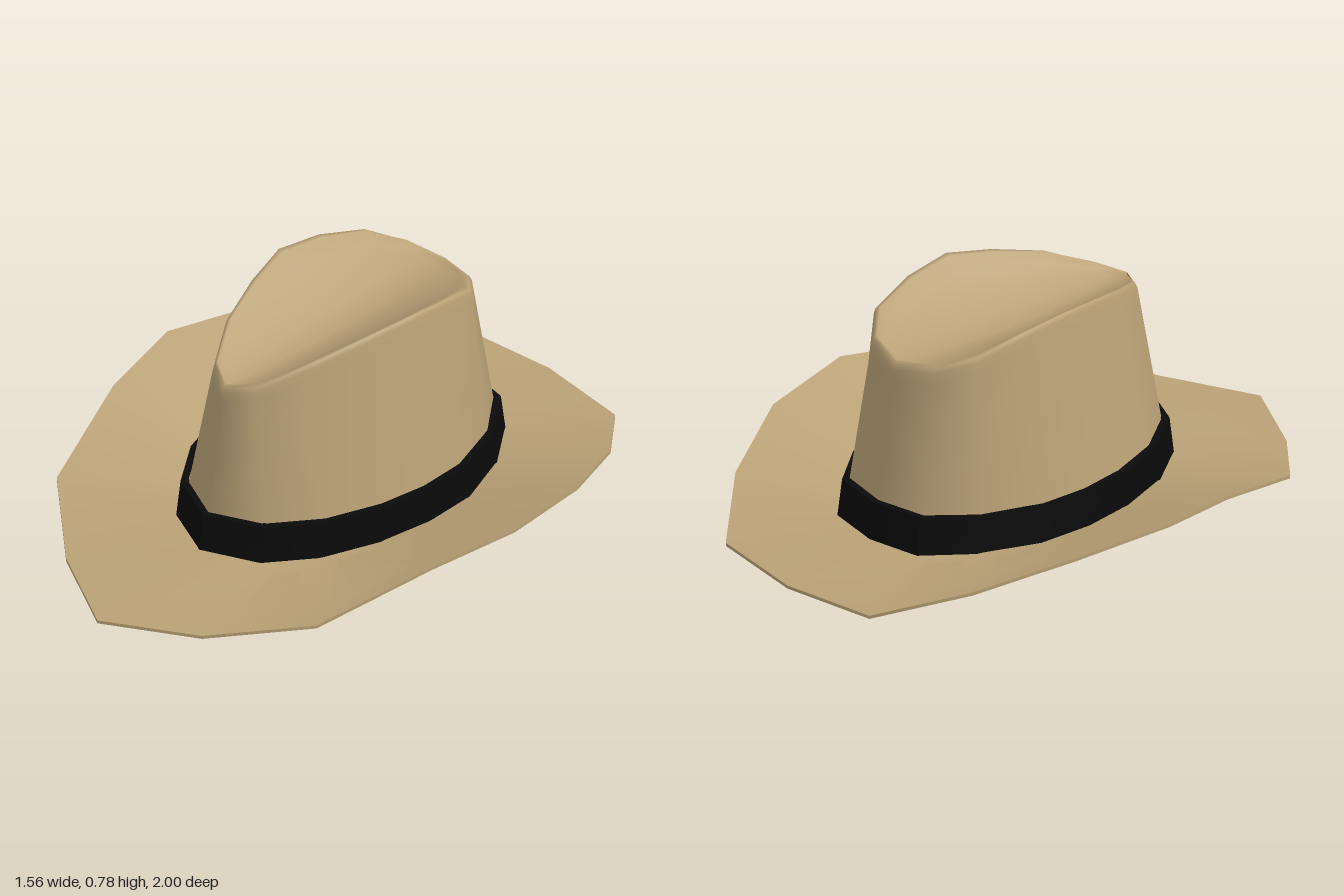
import * as THREE from 'three';
import { mergeVertices, toCreasedNormals } from 'three/addons/utils/BufferGeometryUtils.js';

// Half outlines run from the back, round the left side, to the front: [x, y, z]
const BRIM = [
  [0, 0.018, -1], [0.34, 0.025, -0.957], [0.56, 0.11, -0.72], [0.717, 0.19, -0.42], [0.78, 0.22, -0.08],
  [0.715, 0.19, 0.225], [0.583, 0.085, 0.605], [0.305, 0.022, 0.838], [0, 0.011, 1],
];
const BAND = [
  [0, 0.06, -0.655], [0.19, 0.06, -0.62], [0.315, 0.06, -0.46], [0.395, 0.06, -0.26], [0.405, 0.06, -0.08],
  [0.38, 0.06, 0.1], [0.31, 0.06, 0.3], [0.19, 0.06, 0.465], [0, 0.06, 0.55],
];
const RIM = [
  [0, 0.65, -0.555], [0.145, 0.675, -0.515], [0.24, 0.717, -0.42], [0.275, 0.76, -0.25], [0.285, 0.78, -0.08],
  [0.245, 0.755, 0.08], [0.185, 0.715, 0.25], [0.095, 0.655, 0.395], [0, 0.632, 0.45],
];

// Shrink an outline toward its middle and set its height
const shrink = (half, k, y) => half.map(([x, , z]) => [x * k, y, -0.052 + (z + 0.052) * k]);
const lift = (half, dy) => half.map(([x, y, z]) => [x, y + dy, z]);
const blend = (a, b, t) => a.map((p, i) => p.map((v, k) => v + (b[i][k] - v) * t));

// Skin a stack of mirrored outlines
function loft(halves) {
  const rings = halves.map((h) => [...h, ...h.slice(1, -1).reverse().map(([x, y, z]) => [-x, y, z])]);
  const n = rings[0].length;
  const index = [];
  for (let r = 0; r < rings.length - 1; r++) {
    for (let i = 0; i < n; i++) {
      const a = r * n + i, b = r * n + (i + 1) % n;
      index.push(a, a + n, b, a + n, b + n, b);
    }
  }
  let geo = new THREE.BufferGeometry();
  geo.setAttribute('position', new THREE.Float32BufferAttribute(rings.flat(2), 3));
  geo.setIndex(index);
  geo = mergeVertices(geo);
  geo.computeVertexNormals();
  return geo;
}

export function createModel() {
  const hat = new THREE.Group();
  hat.name = 'hat';
  const felt = new THREE.MeshStandardMaterial({ color: 0xb9a176, side: THREE.DoubleSide });
  felt.name = 'tan felt';
  const ribbon = new THREE.MeshStandardMaterial({ color: 0x0a0a0a });
  ribbon.name = 'black ribbon';

  const add = (name, geo, mat) => {
    const mesh = new THREE.Mesh(geo, mat);
    mesh.name = name;
    hat.add(mesh);
  };

  // Brim: thin sheet, curled up at the sides, with an oval opening
  add('brim', toCreasedNormals(loft([
    shrink(BAND, 0.965, 0.055), lift(BRIM, -0.011), BRIM, shrink(BAND, 0.965, 0.068),
  ]), 0.7), felt);

  // Crown: tapering wall, rounded rim, and a lengthwise crease that folds onto the centre line
  const base = shrink(BAND, 0.965, 0.055);
  const edge = lift(RIM, -0.02);
  const valley = (z) => {
    const t = (z + 0.555) / 1.005;
    return 0.65 - 0.018 * t - 0.025 * Math.sin(Math.PI * t);
  };
  const crease = (s) => RIM.map(([x, y, z]) => {
    const v = valley(z);
    const zz = -0.052 + (z + 0.052) * 0.97;
    return [x * s, v + (y - v) * Math.pow(s, 1.5), zz];
  });
  const wall = [0, 0.25, 0.6, 0.95, 1].map((t) => blend(base, edge, t));
  const bevel = shrink(RIM, 0.985, 0).map(([x, , z], i) => [x, RIM[i][1] - 0.004, z]);
  add('crown', loft([
    ...wall, bevel, lift(crease(0.93), 0.008), ...[0.75, 0.5, 0.25, 0].map(crease),
  ]), felt);

  // Ribbon band round the foot of the crown
  add('band', toCreasedNormals(loft([
    BAND, shrink(BAND, 0.972, 0.19), shrink(BAND, 0.92, 0.19),
  ]), 0.7), ribbon);

  return hat;
}
